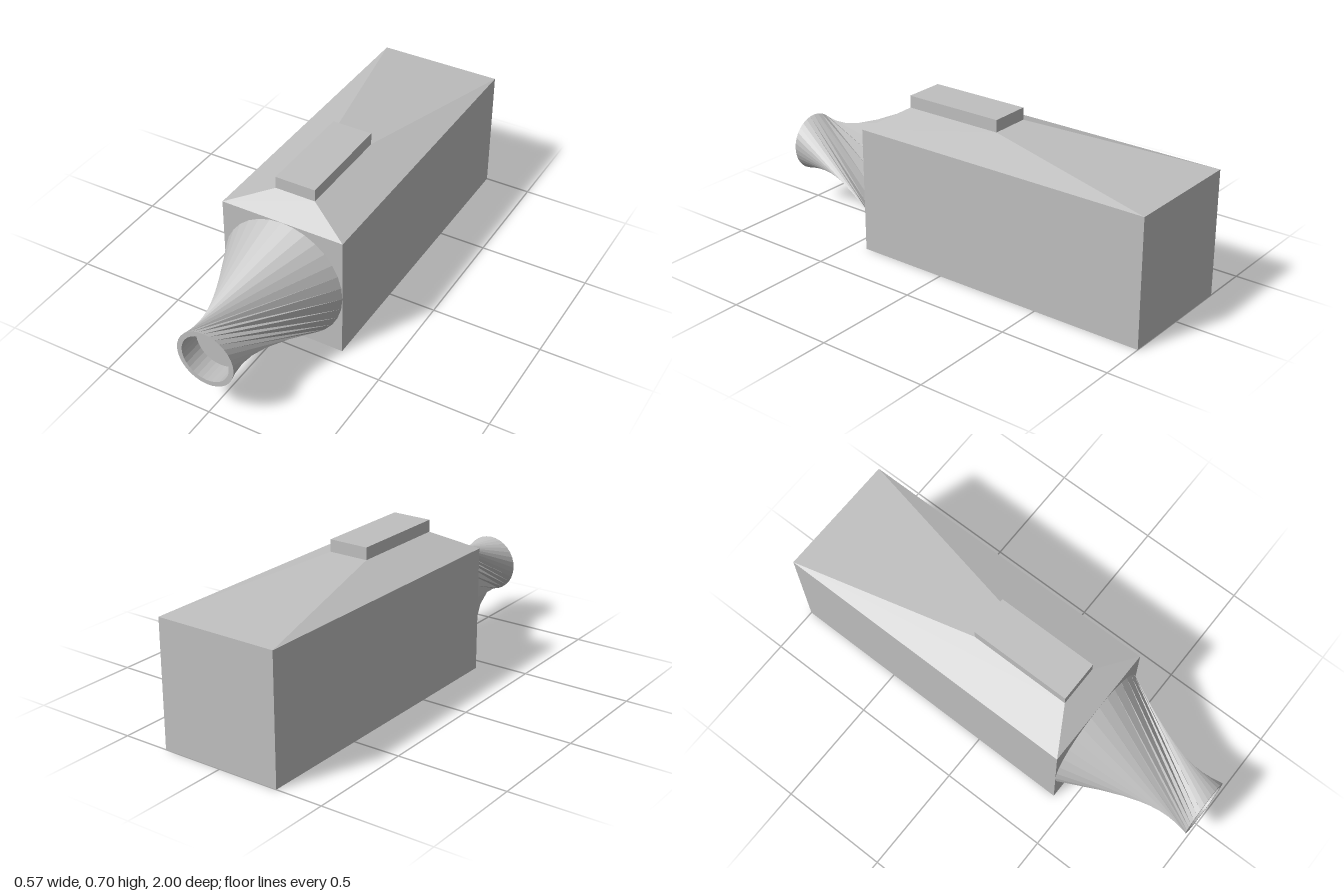
import * as THREE from 'three';

const CENTER_Y = 0.286; // nozzle axis height
const SIDES = 32;

export function createModel() {
  const model = new THREE.Group();
  model.name = 'model';
  const gray = new THREE.MeshStandardMaterial({
    color: 0xbfbfbf, flatShading: true, side: THREE.DoubleSide,
  });
  gray.name = 'light gray';

  const add = (name, geometry, x = 0, y = 0, z = 0) => {
    const mesh = new THREE.Mesh(geometry, gray);
    mesh.name = name;
    mesh.position.set(x, y, z);
    model.add(mesh);
    return mesh;
  };

  // Block between z0 and z1
  const block = (name, width, y0, y1, z0, z1) =>
    add(name, new THREE.BoxGeometry(width, y1 - y0, z1 - z0), 0, (y0 + y1) / 2, (z0 + z1) / 2);

  block('body', 0.57, 0, 0.572, -1, 0.425);
  block('topRail', 0.186, 0.642, 0.697, -0.155, 0.315);

  // Sloped cover: a box whose upper corners are drawn in to the rail
  const cover = block('slopedCover', 0.57, 0.572, 0.642, -1, 0.425);
  const p = cover.geometry.attributes.position;
  for (let i = 0; i < p.count; i++) {
    if (p.getY(i) < 0) continue;
    p.setX(i, Math.sign(p.getX(i)) * 0.093);
    p.setZ(i, (p.getZ(i) > 0 ? 0.315 : -0.155) - cover.position.z);
  }
  cover.geometry.computeVertexNormals();

  // Twisted nozzle: straight edges join a wide ring to a narrow one a quarter turn on
  const ring = (radius, z, i) => {
    const a = (i / SIDES) * Math.PI * 2;
    return [radius * Math.cos(a), radius * Math.sin(a), z];
  };
  const wide = (i) => ring(0.285, 0.425, i);
  const narrow = (i) => ring(0.132, 1, i + SIDES / 4);
  const corners = [];
  for (let i = 0; i < SIDES; i++) {
    corners.push(...wide(i), ...narrow(i + 1), ...narrow(i));
    corners.push(...wide(i), ...wide(i + 1), ...narrow(i + 1));
  }
  const nozzle = new THREE.BufferGeometry();
  nozzle.setAttribute('position', new THREE.Float32BufferAttribute(corners, 3));
  nozzle.computeVertexNormals();
  add('twistedNozzle', nozzle, 0, CENTER_Y, 0);

  // Nozzle mouth: rim, shallow bore and its floor
  add('nozzleRim', new THREE.RingGeometry(0.11, 0.132, SIDES), 0, CENTER_Y, 1);
  const bore = new THREE.CylinderGeometry(0.11, 0.11, 0.1, SIDES, 1, true);
  bore.rotateX(Math.PI / 2);
  add('nozzleBore', bore, 0, CENTER_Y, 0.95);
  add('boreFloor', new THREE.CircleGeometry(0.11, SIDES), 0, CENTER_Y, 0.9);

  return model;
}
